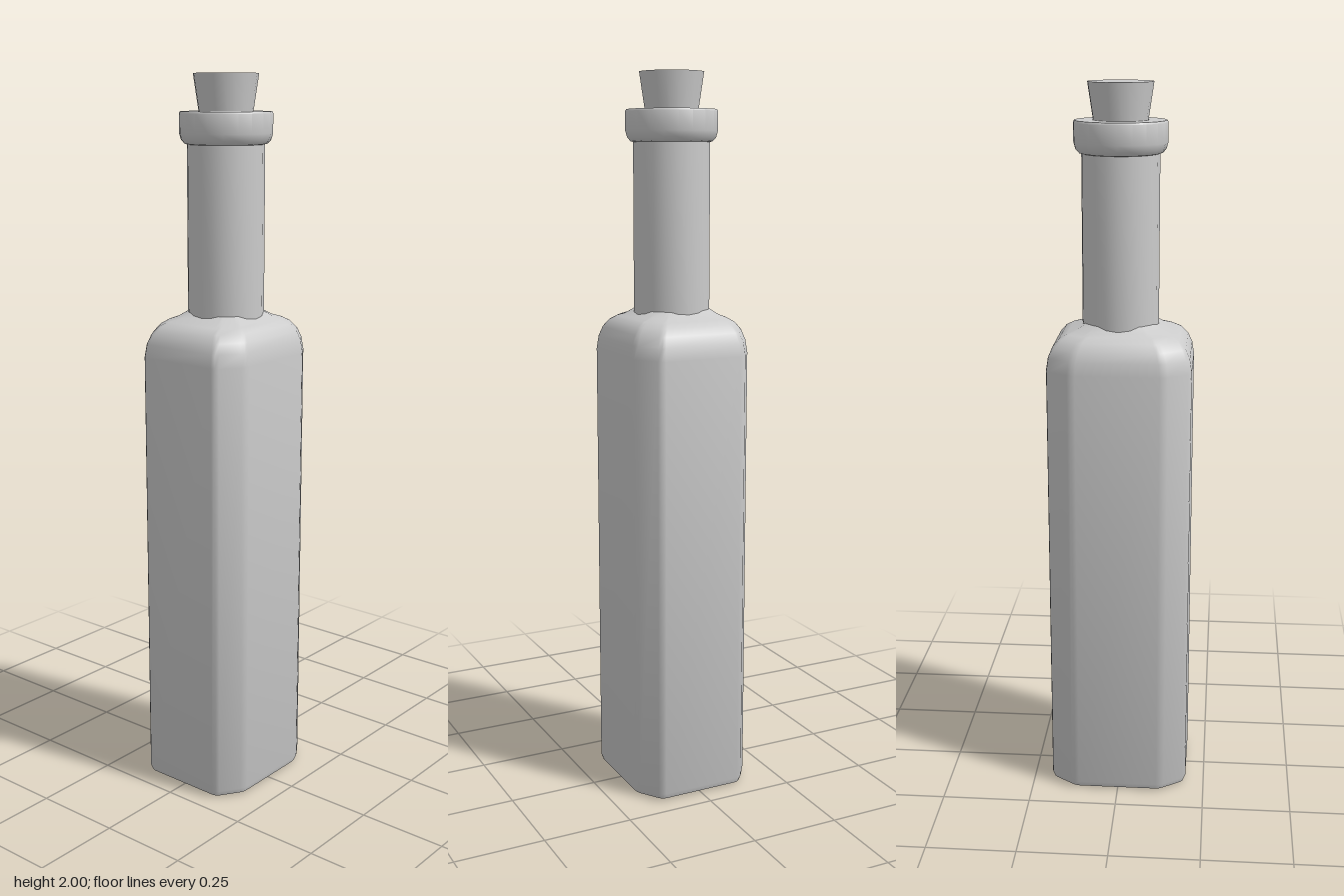
import * as THREE from 'three';
import { toCreasedNormals } from 'three/addons/utils/BufferGeometryUtils.js';

const material = new THREE.MeshStandardMaterial({ color: 0xcccccc });
const SIDES = 20;
const NECK_RADIUS = 0.105;
const NECK_X = 0.003;

function addMesh(group, name, geometry, crease) {
  const mesh = new THREE.Mesh(toCreasedNormals(geometry, crease), material);
  mesh.name = name;
  group.add(mesh);
  return mesh;
}

function lathe(profile) {
  return new THREE.LatheGeometry(profile.map(([r, y]) => new THREE.Vector2(r, y)), SIDES);
}

// Rectangle with cut corners, each remaining corner slightly eased
function bodyOutline() {
  const w = 0.197, d = 0.174, cx = 0.125, cz = 0.125;
  const corners = [[w, cz], [cx, d], [-cx, d], [-w, cz], [-w, -cz], [-cx, -d], [cx, -d], [w, -cz]]
    .map(([x, z]) => new THREE.Vector2(x, z));
  const points = [];
  corners.forEach((corner, i) => {
    const before = corners[(i + 7) % 8], after = corners[(i + 1) % 8];
    const a = corner.clone().add(before.clone().sub(corner).setLength(0.012));
    const b = corner.clone().add(after.clone().sub(corner).setLength(0.012));
    const mid = a.clone().add(b).multiplyScalar(0.25).addScaledVector(corner, 0.5);
    points.push(a, mid, b);
  });
  return points;
}

// Lofted body: each ring is [y, inset, blend from outline to neck circle]
function bodyGeometry() {
  const outline = bodyOutline();
  const n = outline.length;
  const rings = [
    [0.022, 0.09, 0], [0.006, 0.15, 0], [0, 0.1, 0], [0.006, 0.03, 0], [0.022, 0, 0],
    [1.25, 0, 0], [1.285, 0.012, 0.03], [1.312, 0.025, 0.12], [1.332, 0.035, 0.28],
    [1.344, 0.035, 0.5], [1.352, 0.02, 0.75], [1.367, 0, 1],
  ];
  const positions = [0, 0.04, 0];
  const index = [];
  // Hollowed base runs from the centre out to the foot
  rings[0] = [0.03, 0.4, 0];
  for (const [y, inset, blend] of rings) {
    for (const p of outline) {
      const angle = Math.atan2(p.y, p.x);
      const s = 1 - inset;
      positions.push(
        THREE.MathUtils.lerp(p.x * s, Math.cos(angle) * NECK_RADIUS + NECK_X, blend), y,
        THREE.MathUtils.lerp(p.y * s, Math.sin(angle) * NECK_RADIUS, blend));
    }
  }
  for (let i = 0; i < n; i++) {
    const j = (i + 1) % n;
    index.push(0, 1 + i, 1 + j);
    for (let r = 0; r < rings.length - 1; r++) {
      const a = 1 + r * n, b = a + n;
      index.push(a + i, b + i, a + j, a + j, b + i, b + j);
    }
  }
  const geometry = new THREE.BufferGeometry();
  geometry.setAttribute('position', new THREE.Float32BufferAttribute(positions, 3));
  geometry.setIndex(index);
  geometry.computeVertexNormals();
  return geometry;
}

export function createModel() {
  const bottle = new THREE.Group();
  bottle.name = 'bottle';

  addMesh(bottle, 'body', bodyGeometry(), 0.75);

  const top = new THREE.Group();
  top.name = 'neckAndCork';
  top.position.x = NECK_X;
  bottle.add(top);

  addMesh(top, 'neck', lathe([[NECK_RADIUS, 1.355], [NECK_RADIUS, 1.825]]), 0.5);

  // Collar with an eased underside and an open mouth
  addMesh(top, 'lip', lathe([
    [0.1, 1.815], [0.112, 1.818], [0.121, 1.828], [0.126, 1.845], [0.126, 1.897],
    [0.123, 1.902], [0.075, 1.902], [0.073, 1.8],
  ]), 0.6);

  // Tapered stopper
  addMesh(top, 'cork', lathe([[0, 1.8], [0.058, 1.8], [0.088, 2], [0, 2]]), 0.5);

  return bottle;
}
